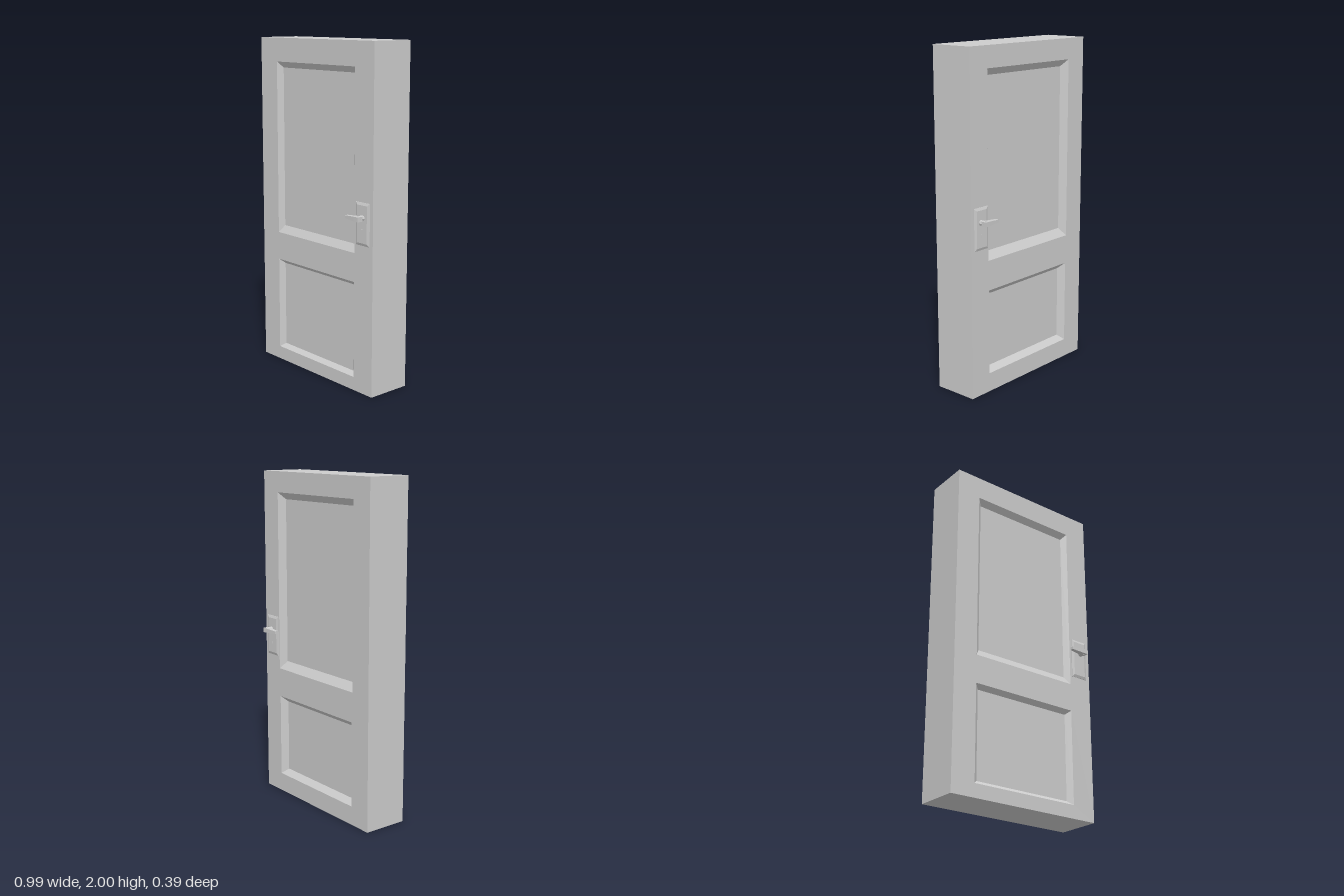
import * as THREE from 'three';

const material = new THREE.MeshStandardMaterial({ color: 0xcccccc, flatShading: true });

const HALF_W = 0.495, HEIGHT = 2, HALF_D = 0.135;

function addMesh(parent, name, geometry) {
  const mesh = new THREE.Mesh(geometry, material);
  mesh.name = name;
  parent.add(mesh);
  return mesh;
}

// Joins rectangular sections [x0, x1, y0, y1, z]; works for raised and sunken shapes.
function loft(sections, startCap, endCap) {
  const pos = [];
  const corners = ([x0, x1, y0, y1, z]) => [[x0, y0, z], [x1, y0, z], [x1, y1, z], [x0, y1, z]];
  const quad = (a, b, c, d) => pos.push(...a, ...b, ...c, ...a, ...c, ...d);
  const rings = sections.map(corners);
  for (let s = 0; s < rings.length - 1; s++) {
    for (let i = 0; i < 4; i++) {
      const j = (i + 1) % 4;
      quad(rings[s][i], rings[s][j], rings[s + 1][j], rings[s + 1][i]);
    }
  }
  if (endCap) quad(...rings[rings.length - 1]);
  if (startCap) quad(...rings[0].slice().reverse());
  const geometry = new THREE.BufferGeometry();
  geometry.setAttribute('position', new THREE.Float32BufferAttribute(pos, 3));
  geometry.computeVertexNormals();
  return geometry;
}

function traceRect(path, [x0, x1, y0, y1]) {
  path.moveTo(x0, y0);
  path.lineTo(x1, y0);
  path.lineTo(x1, y1);
  path.lineTo(x0, y1);
  path.closePath();
  return path;
}

// One door face: flat frame with sunken bevelled panels.
function createFace(name, panels, depth) {
  const face = new THREE.Group();
  face.name = name;
  const shape = traceRect(new THREE.Shape(), [-HALF_W, HALF_W, 0, HEIGHT]);
  for (const { outer } of panels) shape.holes.push(traceRect(new THREE.Path(), outer));
  addMesh(face, 'frame', new THREE.ShapeGeometry(shape)).position.z = HALF_D;
  for (const { name: panelName, outer, inner } of panels) {
    addMesh(face, panelName, loft([[...outer, HALF_D], [...inner, HALF_D - depth]], false, true));
  }
  return face;
}

// Handle set; side = 1 points the lever to -x, side = -1 to +x.
function createHandle(name, side) {
  const handle = new THREE.Group();
  handle.name = name;

  // bevelled back plate
  addMesh(handle, 'backPlate', loft([
    [-0.055, 0.055, 0.875, 1.12, 0],
    [-0.055, 0.055, 0.875, 1.12, 0.003],
    [-0.04, 0.04, 0.89, 1.105, 0.009],
  ], false, true));

  // stem
  const stem = addMesh(handle, 'stem', new THREE.CylinderGeometry(0.017, 0.017, 0.04, 8));
  stem.rotation.x = Math.PI / 2;
  stem.position.set(side * 0.006, 1.034, 0.024);

  // tapered lever
  const lever = addMesh(handle, 'lever', loft([
    [-0.0175, 0.0175, -0.014, 0.014, 0],
    [-0.0165, 0.0165, -0.013, 0.013, 0.035],
    [-0.011, 0.011, -0.008, 0.008, 0.113],
  ], true, true));
  lever.rotation.y = -side * Math.PI / 2;
  lever.position.set(side * 0.022, 1.034, 0.043);

  // keyhole
  const round = addMesh(handle, 'keyholeTop', new THREE.CylinderGeometry(0.006, 0.006, 0.002, 8));
  round.rotation.x = Math.PI / 2;
  round.position.set(0, 0.965, 0.0092);
  addMesh(handle, 'keyholeSlot', new THREE.BoxGeometry(0.005, 0.018, 0.002)).position.set(0, 0.953, 0.009);
  return handle;
}

export function createModel() {
  const door = new THREE.Group();
  door.name = 'door';

  // four narrow sides of the slab
  const edge = [-HALF_W, HALF_W, 0, HEIGHT];
  addMesh(door, 'slabEdges', loft([[...edge, -HALF_D], [...edge, HALF_D]], false, false));

  door.add(createFace('frontFace', [
    { name: 'upperPanel', outer: [-0.345, 0.345, 0.82, 1.86], inner: [-0.315, 0.315, 0.865, 1.825] },
    { name: 'lowerPanel', outer: [-0.345, 0.345, 0.08, 0.65], inner: [-0.315, 0.315, 0.103, 0.625] },
  ], 0.027));

  const back = createFace('backFace', [
    { name: 'upperPanel', outer: [-0.355, 0.355, 0.797, 1.876], inner: [-0.318, 0.318, 0.845, 1.836] },
    { name: 'lowerPanel', outer: [-0.35, 0.35, 0.113, 0.62], inner: [-0.314, 0.314, 0.145, 0.587] },
  ], 0.034);
  back.rotation.y = Math.PI;
  door.add(back);

  // handles on both faces
  const frontHandle = createHandle('frontHandle', 1);
  frontHandle.position.set(0.415, 0, HALF_D);
  const backHandle = createHandle('backHandle', -1);
  backHandle.position.set(0.417, 0, -HALF_D);
  backHandle.rotation.y = Math.PI;
  door.add(frontHandle, backHandle);

  return door;
}
